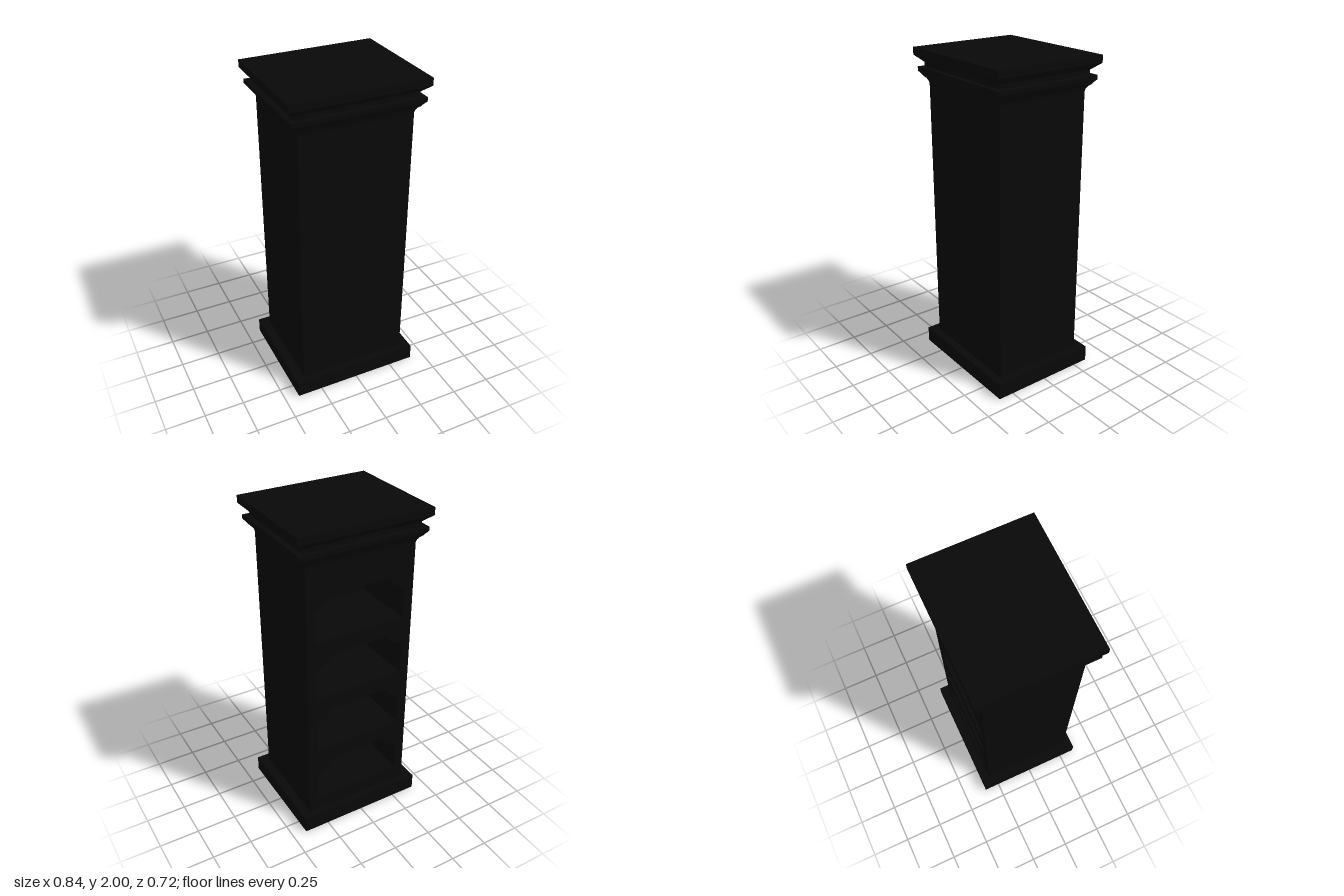
import * as THREE from 'three';

const W = 0.35, D = 0.2975;          // half width and half depth of the body
const INNER = 0.29, WALL_Z = 0.12;   // niche half width and depth plane
const BOTTOM = 0.1, TOP = 1.79;
const FRAME = 0.02;
const FLOORS = [0, 1, 2, 3].map((i) => 0.19 + i * 0.38);

const material = new THREE.MeshStandardMaterial({ color: 0x080808 });

export function createModel() {
  const group = new THREE.Group();

  const add = (name, geometry) => {
    const mesh = new THREE.Mesh(geometry, material);
    mesh.name = name;
    group.add(mesh);
    return mesh;
  };

  // Box given by its minimum and maximum corners
  const box = (name, x0, x1, y0, y1, z0, z1) =>
    add(name, new THREE.BoxGeometry(x1 - x0, y1 - y0, z1 - z0))
      .position.set((x0 + x1) / 2, (y0 + y1) / 2, (z0 + z1) / 2);

  // Plinth
  box('base', -0.41, 0.41, 0, BOTTOM, -0.35, 0.35);

  // Closed front and side walls
  box('frontWall', -W, W, BOTTOM, TOP, WALL_Z, D);
  for (const s of [-1, 1]) {
    const a = s * INNER, b = s * W;
    box(s > 0 ? 'leftWall' : 'rightWall', Math.min(a, b), Math.max(a, b), BOTTOM, TOP, -D + FRAME, WALL_Z);
  }

  // Shelves: solid bottom, three boards, solid top
  const shelf = (name, y0, y1) => box(name, -INNER, INNER, y0, y1, -D + FRAME, WALL_Z);
  shelf('bottomShelf', BOTTOM, FLOORS[0]);
  FLOORS.slice(1).forEach((y) => shelf('shelf', y - 0.04, y));
  shelf('topBoard', FLOORS[3] + 0.34, TOP);

  // Back frame with shouldered openings
  const frame = new THREE.Shape();
  frame.moveTo(-W, BOTTOM).lineTo(W, BOTTOM).lineTo(W, TOP).lineTo(-W, TOP).closePath();
  for (const y of FLOORS) {
    const hole = new THREE.Path();
    hole.moveTo(-INNER, y);
    hole.lineTo(-INNER, y + 0.205);
    hole.quadraticCurveTo(-0.255, y + 0.205, -0.235, y + 0.23);
    hole.lineTo(-0.215, y + 0.23);
    hole.quadraticCurveTo(-0.205, y + 0.28, -0.17, y + 0.28);
    hole.lineTo(0.17, y + 0.28);
    hole.quadraticCurveTo(0.205, y + 0.28, 0.215, y + 0.23);
    hole.lineTo(0.235, y + 0.23);
    hole.quadraticCurveTo(0.255, y + 0.205, INNER, y + 0.205);
    hole.lineTo(INNER, y);
    hole.closePath();
    frame.holes.push(hole);
  }
  add('backFrame', new THREE.ExtrudeGeometry(frame, { depth: FRAME, bevelEnabled: false, curveSegments: 6 }))
    .position.z = -D;

  // Cornice: four-sided lathe squashed to the body's proportions
  const profile = [
    [0, 1.79], [0.35, 1.79], [0.355, 1.808], [0.365, 1.822], [0.378, 1.832], [0.383, 1.84],
    [0.403, 1.862], [0.403, 1.887], [0.37, 1.89], [0.37, 1.915], [0.421, 1.955], [0.421, 2], [0, 2],
  ].map(([r, y]) => new THREE.Vector2(r * Math.SQRT2, y));
  const cornice = new THREE.LatheGeometry(profile, 4, Math.PI / 4).toNonIndexed();
  cornice.scale(1, 1, 0.85);
  cornice.computeVertexNormals();
  add('cornice', cornice);

  return group;
}
